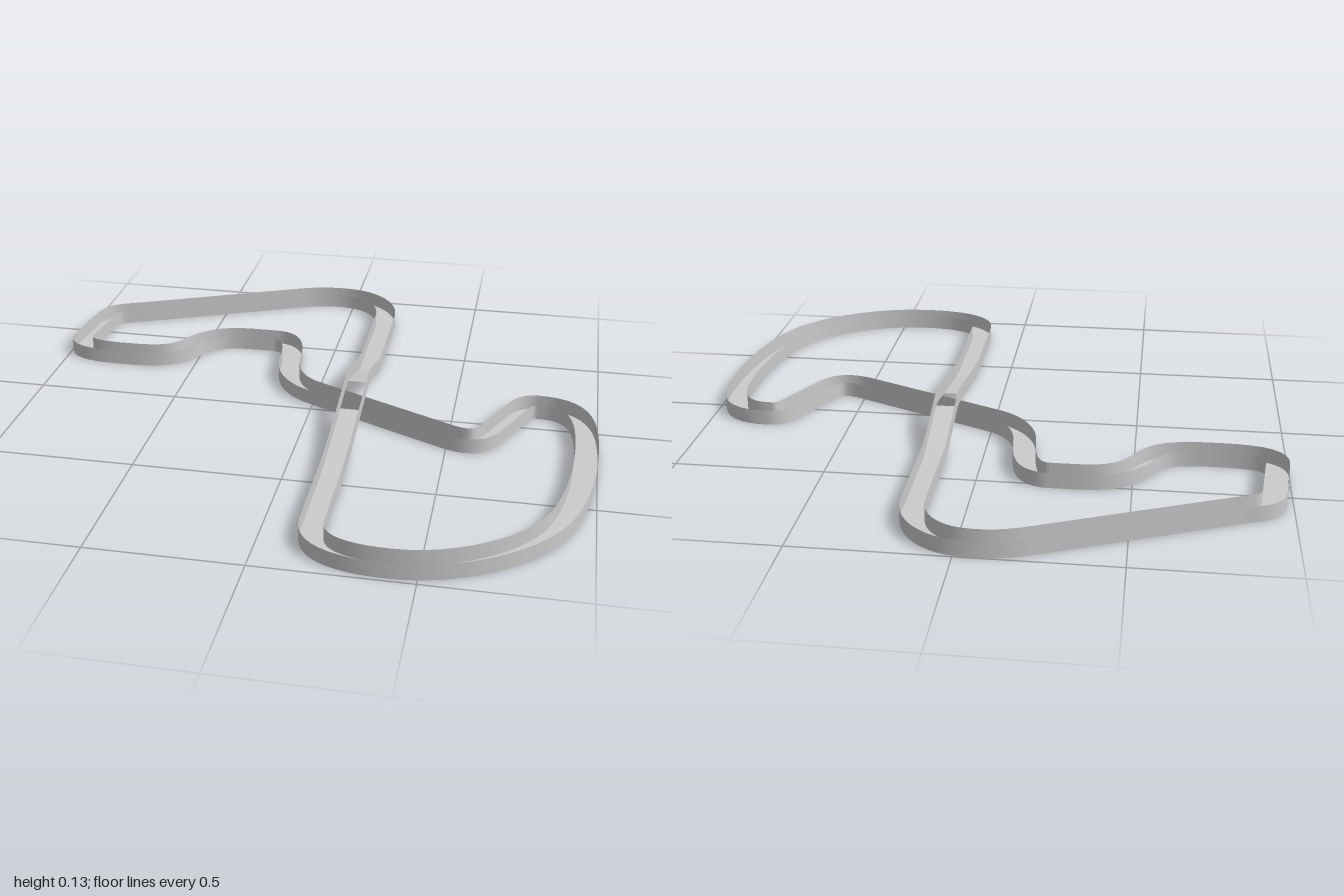
import * as THREE from 'three';

const HALF_WIDTH = 0.038;
const WALL_HEIGHT = 0.053;

// Centreline in (x, z): two numbers end a straight, six are a Bezier bend
const START = [0.158, 0.8];
const PATH = [
  [0.158, 0.9, 0.25, 0.95, 0.41, 0.95],
  [0.62, 0.95, 0.81, 0.81, 0.88, 0.67],
  [0.94, 0.55, 0.963, 0.36, 0.963, 0.19],
  [0.963, -0.03, 0.925, -0.115, 0.79, -0.115],
  [0.76, -0.115, 0.74, -0.095, 0.725, -0.06],
  [0.64, 0.125],
  [0.612, 0.18, 0.575, 0.192, 0.5, 0.16],
  [-0.005, -0.078],
  [-0.09, -0.12, -0.13, -0.2, -0.135, -0.29],
  [-0.142, -0.42, -0.165, -0.487, -0.235, -0.487],
  [-0.31, -0.487],
  [-0.44, -0.487, -0.49, -0.45, -0.54, -0.355],
  [-0.58, -0.28, -0.65, -0.265, -0.77, -0.265],
  [-0.92, -0.265, -0.97, -0.29, -0.961, -0.36],
  [-0.94, -0.56],
  [-0.932, -0.625, -0.89, -0.63, -0.82, -0.66],
  [-0.209, -0.93],
  [-0.11, -0.972, 0, -0.97, 0.06, -0.933],
  [0.13, -0.89, 0.158, -0.82, 0.158, -0.75],
];

// Bridge straight at x = 0.158: [z, floor height]; the floor is open over the crossing
const BRIDGE = [
  [-0.37, 0], [-0.3, 0.015], [-0.12, 0.073], [-0.09, 0.079], [-0.06, 0.079], [-0.03, 0.075],
  [0.08, 0.055], [0.2, 0.034], [0.33, 0.012], [0.45, 0],
];
const GAP_START = -0.09;
const GAP_END = 0.08;

function centreline() {
  const points = [new THREE.Vector3(START[0], 0, START[1])];
  let from = new THREE.Vector2(...START);
  for (const s of PATH) {
    const pairs = [];
    for (let i = 0; i < s.length; i += 2) pairs.push(new THREE.Vector2(s[i], s[i + 1]));
    const curve = pairs.length === 1
      ? new THREE.LineCurve(from, pairs[0])
      : new THREE.CubicBezierCurve(from, ...pairs);
    const samples = pairs.length === 1 ? 1 : 12;
    for (const p of curve.getPoints(samples).slice(1)) points.push(new THREE.Vector3(p.x, 0, p.y));
    from = pairs[pairs.length - 1];
  }
  for (const [z, y] of BRIDGE) points.push(new THREE.Vector3(START[0], y, z));
  points.push(points[0].clone());
  return points;
}

// Shifts the centreline sideways and upwards
function offset(points, side, lift) {
  const n = points.length - 1;
  return points.map((p, i) => {
    const before = points[(i - 1 + n) % n];
    const after = points[(i + 1) % n];
    const a = p.clone().sub(before).setY(0).normalize();
    const b = after.clone().sub(p).setY(0).normalize();
    const t = a.add(b).normalize();
    return new THREE.Vector3(p.x - t.z * side, p.y + lift, p.z + t.x * side);
  });
}

// Ribbon between two rails of equal length
function ribbon(name, railA, railB, material) {
  const positions = [];
  const index = [];
  railA.forEach((a, i) => {
    const b = railB[i];
    positions.push(a.x, a.y, a.z, b.x, b.y, b.z);
    if (i > 0) {
      const k = 2 * i;
      index.push(k - 2, k - 1, k, k - 1, k + 1, k);
    }
  });
  const geometry = new THREE.BufferGeometry();
  geometry.setAttribute('position', new THREE.Float32BufferAttribute(positions, 3));
  geometry.setIndex(index);
  geometry.computeVertexNormals();
  const mesh = new THREE.Mesh(geometry, material);
  mesh.name = name;
  return mesh;
}

export function createModel() {
  const group = new THREE.Group();
  group.name = 'raceTrack';
  const material = new THREE.MeshStandardMaterial({ color: 0xcccccc, side: THREE.DoubleSide });

  const centre = centreline();
  const right = offset(centre, HALF_WIDTH, 0);
  const left = offset(centre, -HALF_WIDTH, 0);

  // Floor, in two lengths either side of the opening in the bridge
  const bridgeFrom = centre.length - 1 - BRIDGE.length;
  const gapFrom = bridgeFrom + BRIDGE.findIndex(([z]) => z === GAP_START);
  const gapTo = bridgeFrom + BRIDGE.findIndex(([z]) => z === GAP_END);
  group.add(ribbon('trackFloor', right.slice(0, gapFrom + 1), left.slice(0, gapFrom + 1), material));
  group.add(ribbon('rampFloor', right.slice(gapTo), left.slice(gapTo), material));

  // Thin side walls, unbroken round the whole loop
  group.add(ribbon('rightWall', right, offset(centre, HALF_WIDTH, WALL_HEIGHT), material));
  group.add(ribbon('leftWall', left, offset(centre, -HALF_WIDTH, WALL_HEIGHT), material));
  return group;
}
